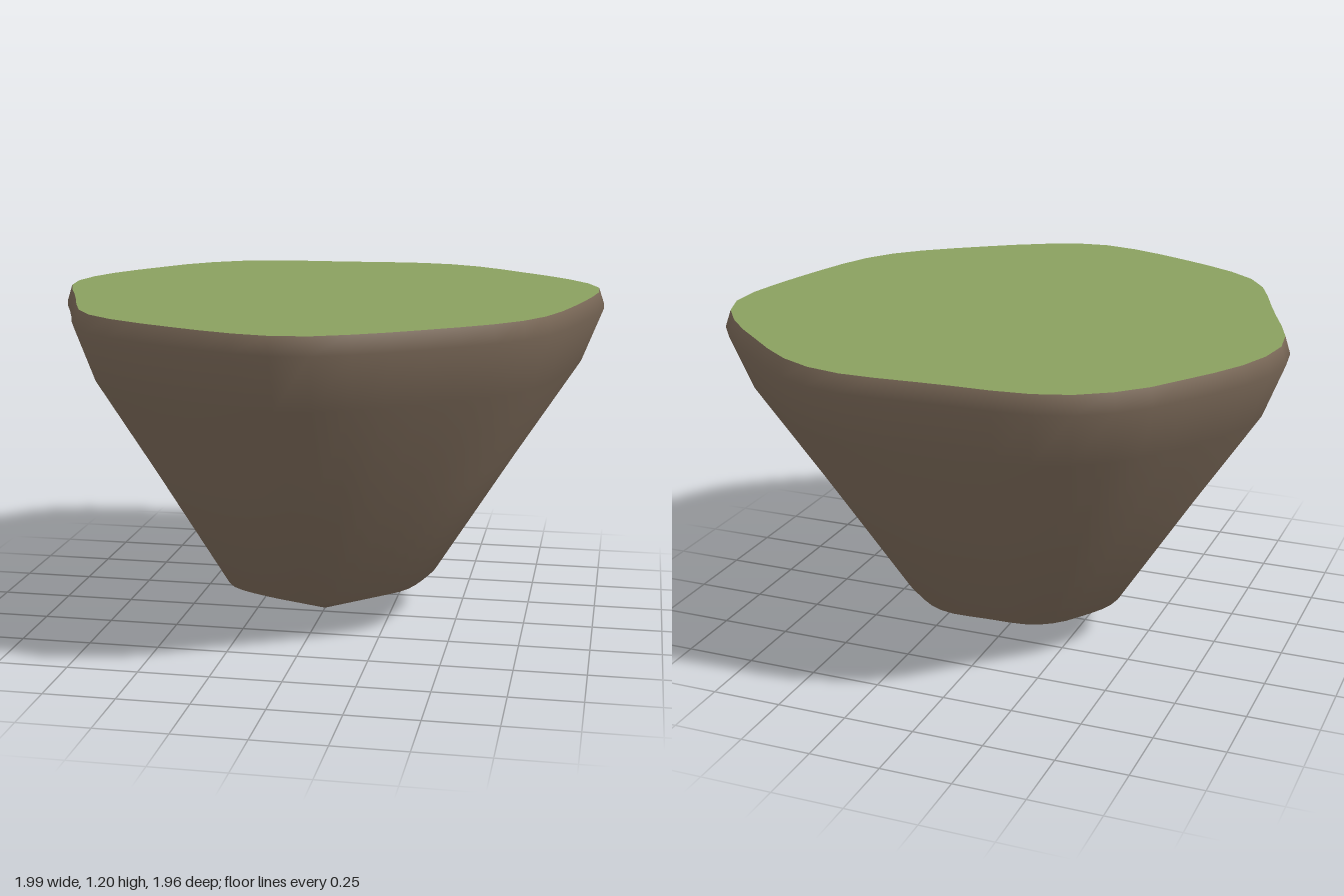
import * as THREE from 'three';

const SEGMENTS = 48;
const CENTRE_Z = -0.04;

// Widest outline as [x, z] pairs around the axis
const OUTLINE = [
  [0.01, 0.975], [0.12, 0.965], [0.32, 0.87], [0.5, 0.75], [0.66, 0.63], [0.75, 0.545], [0.815, 0.455],
  [0.86, 0.36], [0.895, 0.25], [0.95, 0.03], [0.985, -0.15], [0.997, -0.27], [0.98, -0.39], [0.92, -0.5],
  [0.82, -0.62], [0.67, -0.755], [0.53, -0.875], [0.43, -0.935], [0.32, -0.975], [0.2, -0.988],
  [0, -0.978], [-0.185, -0.97], [-0.32, -0.968], [-0.43, -0.95], [-0.54, -0.91], [-0.635, -0.845],
  [-0.72, -0.76], [-0.815, -0.62], [-0.895, -0.5], [-0.95, -0.39], [-0.985, -0.28], [-0.998, -0.17],
  [-0.98, -0.05], [-0.945, 0.05], [-0.865, 0.25], [-0.805, 0.42], [-0.755, 0.545], [-0.7, 0.635],
  [-0.61, 0.715], [-0.505, 0.78], [-0.24, 0.905], [-0.115, 0.95],
];

// Ring heights and scales of the outline, bottom to top
const RINGS = [[0.155, 0.41], [0.6, 0.695], [0.95, 0.925], [1.14, 1], [1.2, 0.98]];

function outlineRing(y, scale) {
  const curve = new THREE.CatmullRomCurve3(
    OUTLINE.map(([x, z]) => new THREE.Vector3(x, 0, z - CENTRE_Z)), true, 'centripetal');
  return curve.getSpacedPoints(SEGMENTS).slice(0, SEGMENTS)
    .map((p) => new THREE.Vector3(p.x * scale, y, p.z * scale + CENTRE_Z));
}

// Rock: lofted rings closed by a shallow point underneath
function rockGeometry() {
  const points = [new THREE.Vector3(0, 0, CENTRE_Z)];
  const index = [];
  RINGS.forEach(([y, scale], r) => {
    points.push(...outlineRing(y, scale));
    for (let i = 0; i < SEGMENTS; i++) {
      const next = (i + 1) % SEGMENTS;
      const c = 1 + r * SEGMENTS + i;
      const d = 1 + r * SEGMENTS + next;
      if (r === 0) index.push(0, d, c);
      else index.push(c - SEGMENTS, d - SEGMENTS, d, c - SEGMENTS, d, c);
    }
  });
  const geometry = new THREE.BufferGeometry().setFromPoints(points);
  geometry.setIndex(index);
  geometry.computeVertexNormals();
  return geometry;
}

// Grass: flat cap filling the top ring
function grassGeometry() {
  const [y, scale] = RINGS[RINGS.length - 1];
  const shape = new THREE.Shape(outlineRing(y, scale).map((p) => new THREE.Vector2(p.x, -p.z)));
  return new THREE.ShapeGeometry(shape).rotateX(-Math.PI / 2).translate(0, y, 0);
}

export function createModel() {
  const group = new THREE.Group();
  group.name = 'floatingIsland';
  const addPart = (name, geometry, color) => {
    const mesh = new THREE.Mesh(geometry, new THREE.MeshStandardMaterial({ color }));
    mesh.name = name;
    group.add(mesh);
  };
  addPart('rock', rockGeometry(), 0x7d6b5a);
  addPart('grassTop', grassGeometry(), 0x8aa05f);
  return group;
}
